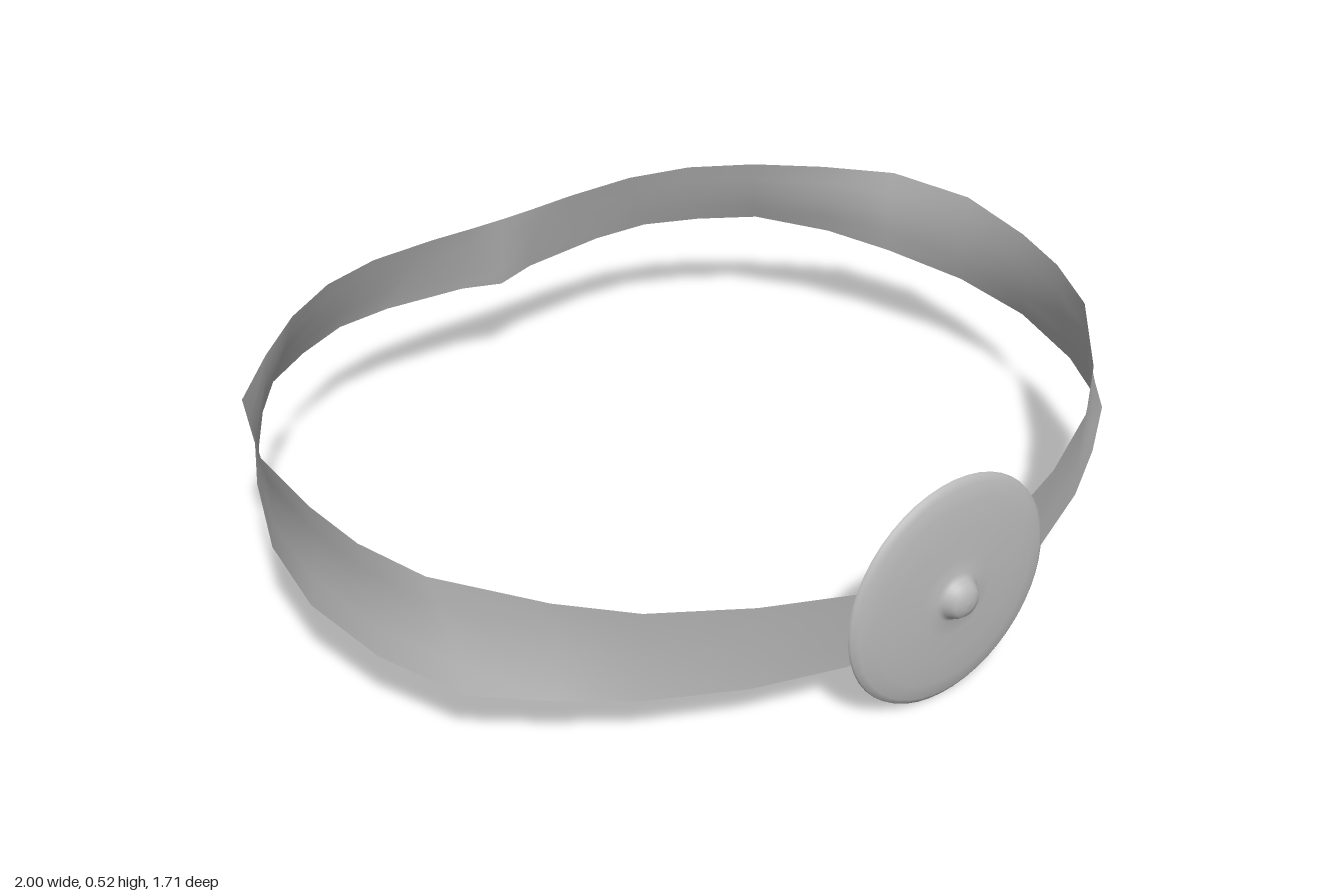
import * as THREE from 'three';

// Half of the band, front centre to back centre: [upper edge xyz, lower edge xyz]
const SECTIONS = [
  [0, 0.31, 0.767, 0, 0.118, 0.737],
  [0.2, 0.316, 0.75, 0.2, 0.12, 0.722],
  [0.4, 0.335, 0.685, 0.4, 0.126, 0.665],
  [0.6, 0.353, 0.585, 0.6, 0.138, 0.578],
  [0.735, 0.374, 0.475, 0.745, 0.153, 0.49],
  [0.895, 0.402, 0.29, 0.885, 0.169, 0.385],
  [0.955, 0.422, 0.14, 0.965, 0.19, 0.2],
  [0.978, 0.441, 0, 1.0, 0.213, 0],
  [0.983, 0.463, -0.2, 0.978, 0.236, -0.2],
  [0.915, 0.475, -0.4, 0.905, 0.261, -0.4],
  [0.79, 0.48, -0.53, 0.83, 0.28, -0.55],
  [0.66, 0.48, -0.65, 0.71, 0.298, -0.7],
  [0.52, 0.478, -0.74, 0.58, 0.3, -0.78],
  [0.37, 0.473, -0.79, 0.45, 0.3, -0.838],
  [0.2, 0.467, -0.805, 0.31, 0.296, -0.855],
  [0.09, 0.464, -0.805, 0.1, 0.285, -0.85],
  [0, 0.463, -0.805, 0, 0.276, -0.828],
];

// Closed ribbon, slightly pinched at mid height along the sides
function bandGeometry() {
  const mirrored = SECTIONS.slice(1, -1).reverse()
    .map(([a, b, c, d, e, f]) => [-a, b, c, -d, e, f]);
  const ring = [...SECTIONS, ...mirrored];
  const rows = 4;
  const positions = [], indices = [];
  ring.forEach((s, i) => {
    for (let r = 0; r <= rows; r++) {
      const t = r / rows;
      const pinch = 1 - 0.014 * Math.sin(Math.PI * t);
      positions.push(
        THREE.MathUtils.lerp(s[3], s[0], t) * pinch,
        THREE.MathUtils.lerp(s[4], s[1], t),
        THREE.MathUtils.lerp(s[5], s[2], t));
    }
    const a = i * (rows + 1), b = ((i + 1) % ring.length) * (rows + 1);
    for (let r = 0; r < rows; r++) {
      indices.push(a + r, b + r, a + r + 1, b + r, b + r + 1, a + r + 1);
    }
  });
  const geometry = new THREE.BufferGeometry();
  geometry.setAttribute('position', new THREE.Float32BufferAttribute(positions, 3));
  geometry.setIndex(indices);
  geometry.computeVertexNormals();
  return geometry;
}

export function createModel() {
  const model = new THREE.Group();
  model.name = 'headband';
  const metal = new THREE.MeshStandardMaterial({ color: 0xb8b8b8, side: THREE.DoubleSide });
  metal.name = 'grey metal';

  const add = (parent, name, geometry) => {
    const mesh = new THREE.Mesh(geometry, metal);
    mesh.name = name;
    parent.add(mesh);
    return mesh;
  };

  add(model, 'band', bandGeometry());

  // Round plate in front of the band, with a small central boss
  const disc = new THREE.Group();
  disc.name = 'frontDisc';
  disc.position.set(0, 0.263, 0.79);
  model.add(disc);

  const profile = [
    [0.26, 0], [0.258, 0.006], [0.245, 0.014], [0.21, 0.021], [0.15, 0.026],
    [0.09, 0.029], [0.055, 0.031], [0.045, 0.038], [0.04, 0.05],
    [0.031, 0.06], [0.016, 0.065], [0, 0.066],
  ].map(([r, h]) => new THREE.Vector2(r, h));
  add(disc, 'discFace', new THREE.LatheGeometry(profile, 48).rotateX(Math.PI / 2));
  add(disc, 'discBack', new THREE.CircleGeometry(0.26, 48).rotateY(Math.PI));

  return model;
}
